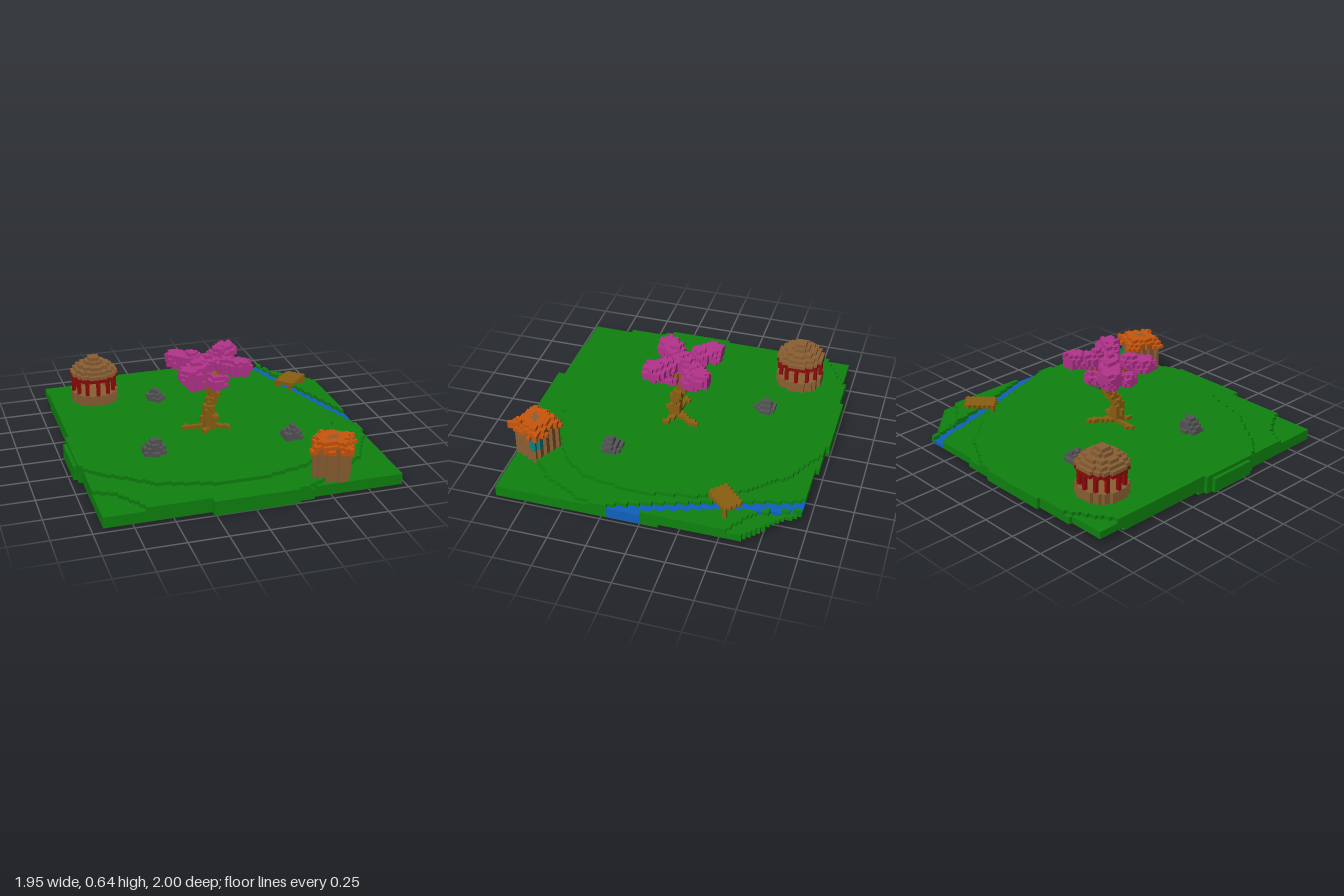
import * as THREE from 'three';

const S = 2 / 84; // edge of one block

const mat = (name, color) => Object.assign(new THREE.MeshStandardMaterial({ color }), { name });

// Each direction with two tangents whose cross product is that direction
const SIDES = [
  [[1, 0, 0], [0, 1, 0], [0, 0, 1]], [[-1, 0, 0], [0, 0, 1], [0, 1, 0]],
  [[0, 1, 0], [0, 0, 1], [1, 0, 0]], [[0, -1, 0], [1, 0, 0], [0, 0, 1]],
  [[0, 0, 1], [1, 0, 0], [0, 1, 0]], [[0, 0, -1], [0, 1, 0], [1, 0, 0]],
];

// Fill every block whose centre passes the test; keep only the outer faces
function blocks(name, material, [x0, x1, y0, y1, z0, z1], test) {
  const r = (v) => Math.round(v / S);
  const cells = [], filled = new Set();
  for (let i = r(x0); i < r(x1); i++)
    for (let j = r(y0); j < r(y1); j++)
      for (let k = r(z0); k < r(z1); k++)
        if (test((i + 0.5) * S, (j + 0.5) * S, (k + 0.5) * S)) {
          cells.push([i, j, k]);
          filled.add(`${i},${j},${k}`);
        }
  const pos = [], norm = [], index = [];
  for (const c of cells)
    for (const [n, u, v] of SIDES) {
      if (filled.has(c.map((a, d) => a + n[d]).join())) continue;
      const b = pos.length / 3;
      for (const [p, q] of [[-1, -1], [1, -1], [1, 1], [-1, 1]]) {
        pos.push(...c.map((a, d) => (a + 0.5 + (n[d] + p * u[d] + q * v[d]) / 2) * S));
        norm.push(...n);
      }
      index.push(b, b + 1, b + 2, b, b + 2, b + 3);
    }
  const g = new THREE.BufferGeometry();
  g.setAttribute('position', new THREE.Float32BufferAttribute(pos, 3));
  g.setAttribute('normal', new THREE.Float32BufferAttribute(norm, 3));
  g.setIndex(index);
  const mesh = new THREE.Mesh(g, material);
  mesh.name = name;
  return mesh;
}

// Is (x, z) inside a polygon?
function inside(poly, x, z) {
  let hit = false;
  poly.forEach(([ax, az], n) => {
    const [bx, bz] = poly[(n + 1) % poly.length];
    if ((az > z) !== (bz > z) && x < ax + ((z - az) * (bx - ax)) / (bz - az)) hit = !hit;
  });
  return hit;
}

const noise = (x, y, z) => {
  const s = Math.sin(x * 917.3 + y * 531.7 + z * 1373.9) * 43758.5;
  return s - Math.floor(s);
};

// Is the point within r of the segment a-b?
const line = new THREE.Line3(), pt = new THREE.Vector3(), near = new THREE.Vector3();
function nearLine(p, a, b, r) {
  line.start.set(...a);
  line.end.set(...b);
  pt.set(...p);
  return line.closestPointToPoint(pt, true, near).distanceTo(pt) < r;
}

const OUTLINE = [[-0.93, -0.955], [-0.69, -0.955], [-0.69, -0.98], [-0.43, -0.98], [-0.43, -1], [0.05, -1],
  [0.05, -0.98], [0.27, -0.98], [0.27, -0.955], [0.69, -0.955], [0.74, -0.87], [0.84, -0.76], [0.97, -0.63],
  [0.977, 0.955], [0.38, 0.955], [0.38, 0.977], [0.28, 0.977], [0.28, 1], [-0.26, 1], [-0.26, 0.955],
  [-0.93, 0.955], [-0.93, 0.35], [-0.955, 0.35], [-0.955, 0.3], [-0.977, 0.3], [-0.977, -0.02],
  [-0.955, -0.02], [-0.955, 0.07 - 0.14], [-0.93, -0.07]];
const PLATEAU = [[-0.65, -0.96], [-0.6, -1.01], [0.04, -1.01], [0.2, -0.93], [0.4, -0.82], [0.6, -0.6], [0.75, -0.3],
  [0.82, 0.08], [0.76, 0.45], [0.6, 0.62], [0.4, 0.74], [0.15, 0.8], [-0.2, 0.8], [-0.55, 0.7],
  [-0.7, 0.58], [-0.85, 0.48], [-0.96, 0.35], [-0.96, -0.79], [-0.85, -0.84]];
const TERRACE = [[-0.98, -1.01], [0.66, -1.01], [0.78, -0.67], [0.98, -0.54], [0.98, 0.25], [0.95, 0.4], [0.8, 0.68],
  [0.6, 0.85], [0.36, 0.96], [0.25, 1.01], [-0.26, 1.01], [-0.65, 0.95], [-0.74, 0.8], [-0.8, 0.72], [-0.98, 0.62]];
const RIVER = [[0.57, -0.96], [0.62, -0.85], [0.69, -0.6], [0.75, -0.4], [0.82, -0.2], [0.88, 0], [0.96, 0.21],
  [1, 0.21], [0.97, 0.02], [0.9, -0.2], [0.83, -0.4], [0.77, -0.6], [0.7, -0.83], [0.66, -0.96]];

export function createModel() {
  const green = mat('grass', 0x0f820f), blue = mat('water', 0x0f60bc), pink = mat('blossom', 0xb4338c);
  const bark = mat('bark', 0x8b5e10), wood = mat('wood', 0x8b5f33), orange = mat('roofTile', 0xc9560c);
  const grey = mat('stone', 0x545456), red = mat('redPaint', 0x900808), teal = mat('window', 0x0c8080);
  const model = new THREE.Group();
  const add = (...args) => model.add(blocks(...args));

  // Terraced ground with an underside stepping up toward the back
  const floor = (z) => (z > -0.11 ? 0 : z > -0.76 ? 1 : 2) * S;
  const hole = (x, z) => (x > 0.71 && x < 0.75 && z > -0.83 && z < -0.75) || (x > 0.735 && x < 0.77 && z > -0.71 && z < -0.62);
  const land = [-1, 1, 0, 5 * S, -1, 1];
  add('ground', green, land, (x, y, z) => {
    if (y < floor(z) || hole(x, z) || !inside(OUTLINE, x, z) || inside(RIVER, x, z)) return false;
    return y < (inside(PLATEAU, x, z) ? 5 : inside(TERRACE, x, z) ? 4 : 3) * S;
  });
  add('river', blue, land, (x, y, z) =>
    y > floor(z) && y < 3 * S && !hole(x, z) && inside(OUTLINE, x, z) && inside(RIVER, x, z));

  // Footbridge: diagonal deck on corner legs
  add('bridge', bark, [0.64, 0.88, 3 * S, 7 * S, -0.62, -0.36], (x, y, z) => {
    const u = Math.abs((x - 0.76 - (z + 0.49)) * 0.707), v = Math.abs((x - 0.76 + z + 0.49) * 0.707);
    return u < 0.108 && v < 0.068 && (y > 6 * S || (u > 0.08 && v > 0.04));
  });

  // Tree: crooked trunk, spreading roots and four branches
  const limbs = [
    [[-0.01, 0.12, 0.05], [-0.02, 0.2, 0.06], 0.042], [[-0.02, 0.2, 0.06], [-0.01, 0.27, 0.06], 0.033],
    [[-0.01, 0.27, 0.05], [0.03, 0.34, 0.02], 0.033], [[0.03, 0.34, 0.02], [0, 0.43, 0], 0.036],
    [[0, 0.12, 0.04], [-0.16, 0.13, 0.03], 0.02], [[0, 0.12, 0.04], [0.1, 0.13, 0.09], 0.02],
    [[0, 0.12, 0.04], [0.08, 0.13, -0.09], 0.02], [[0, 0.12, 0.04], [-0.06, 0.13, 0.13], 0.02],
  ];
  for (const sx of [-1, 1]) for (const sz of [-1, 1])
    limbs.push([[0, 0.41, 0], [sx * 0.1, 0.55, sz * 0.09], 0.022]);
  add('trunk', bark, [-0.25, 0.25, 5 * S, 0.62, -0.25, 0.25], (...p) =>
    limbs.some(([a, b, r]) => nearLine(p, a, b, r)));

  // Blossom: ragged clumps on four diagonal arms, with a lower tier
  const clumps = [[0, 0.56, 0, 0.075, 0.05], [0.07, 0.59, -0.04, 0.05, 0.05],
    [-0.1, 0.455, 0.06, 0.07, 0.045], [0.06, 0.455, -0.07, 0.065, 0.045], [0.04, 0.455, 0.08, 0.07, 0.045],
    [-0.08, 0.455, -0.06, 0.065, 0.045], [0, 0.47, 0, 0.06, 0.035]];
  for (const sx of [-1, 1]) for (const sz of [-1, 1]) clumps.push(
    [sx * 0.1, 0.565, sz * 0.09, 0.07, 0.05], [sx * 0.165, 0.56 + sx * 0.01, sz * 0.15, 0.078, 0.055]);
  add('blossom', pink, [-0.24, 0.24, 0.41, 0.645, -0.215, 0.215], (x, y, z) => clumps.some(([cx, cy, cz, r, h]) =>
    ((x - cx) ** 2 + (z - cz) ** 2) / r ** 2 + ((y - cy) / h) ** 2 < 0.82 + 0.4 * noise(x, y, z)));

  // Boulders
  for (const [cx, cz, r, h] of [[-0.45, 0.31, 0.085, 0.1], [-0.23, -0.51, 0.07, 0.075], [0.46, 0.355, 0.075, 0.095]])
    add('boulder', grey, [cx - 0.1, cx + 0.1, 5 * S, 0.24, cz - 0.1, cz + 0.1], (x, y, z) =>
      Math.hypot(x - cx, z - cz) < r * (1 - ((y - 5 * S) / h) * 0.75) * (0.8 + 0.35 * noise(x, 0, z)) && y < 5 * S + h);

  // Round pavilion: base, ring of posts and stepped roof
  const PX = -27 * S + S / 2, PZ = -28 * S + S / 2, R = 6.7 * S;
  const rad = (x, z) => Math.hypot(x - PX, z - PZ);
  const round = (a, b) => [PX - 0.2, PX + 0.2, a * S, b * S, PZ - 0.2, PZ + 0.2];
  add('pavilionBase', wood, round(5, 8), (x, y, z) => rad(x, z) < R && (y < 7 * S || rad(x, z) > R - 1.3 * S));
  const posts = Array.from({ length: 12 }, (_, n) => [PX + 6 * S * Math.cos(n * Math.PI / 6), PZ + 6 * S * Math.sin(n * Math.PI / 6)]);
  add('pavilionPosts', red, round(8, 13), (x, y, z) => rad(x, z) < R &&
    (y > 12 * S ? rad(x, z) > R - 1.3 * S : posts.some(([a, b]) => Math.abs(x - a) < S * 0.55 && Math.abs(z - b) < S * 0.55)));
  const steps = [6.7, 5.7, 4.4, 2.8, 1.7].map((v) => v * S);
  add('pavilionRoof', wood, round(13, 18), (x, y, z) => rad(x, z) < steps[Math.floor(y / S) - 13]);

  // Hut: turned square walls, side window and ragged tiled roof
  const HX = 0.55, HZ = 0.83, c = Math.cos(0.44), s = Math.sin(0.44);
  const reach = (x, z) => Math.max(Math.abs((x - HX) * c + (z - HZ) * s), Math.abs((z - HZ) * c - (x - HX) * s));
  const hut = (a, b) => [0.38, 0.74, a * S, b * S, 0.66, 1];
  const pane = (x, y, z) => x > 0.63 && y > 0.165 && y < 0.24 && z > 0.755 && z < 0.825;
  add('hutWalls', wood, hut(3, 12), (x, y, z) => reach(x, z) < 0.105 && !pane(x, y, z));
  add('hutWindow', teal, hut(3, 12), (x, y, z) => reach(x, z) < 0.105 && pane(x, y, z));
  add('hutRoof', orange, hut(11, 14), (x, y, z) => {
    const d = reach(x, z) + 0.025 * (noise(x, y, z) - 0.5);
    return y < 12 * S ? d > 0.105 && d < 0.125 : y < 13 * S ? d < 0.112 : d < 0.085 && d > 0.035;
  });
  add('roofCap', wood, hut(13, 14), (x, y, z) => reach(x, z) < 0.045);
  return model;
}
